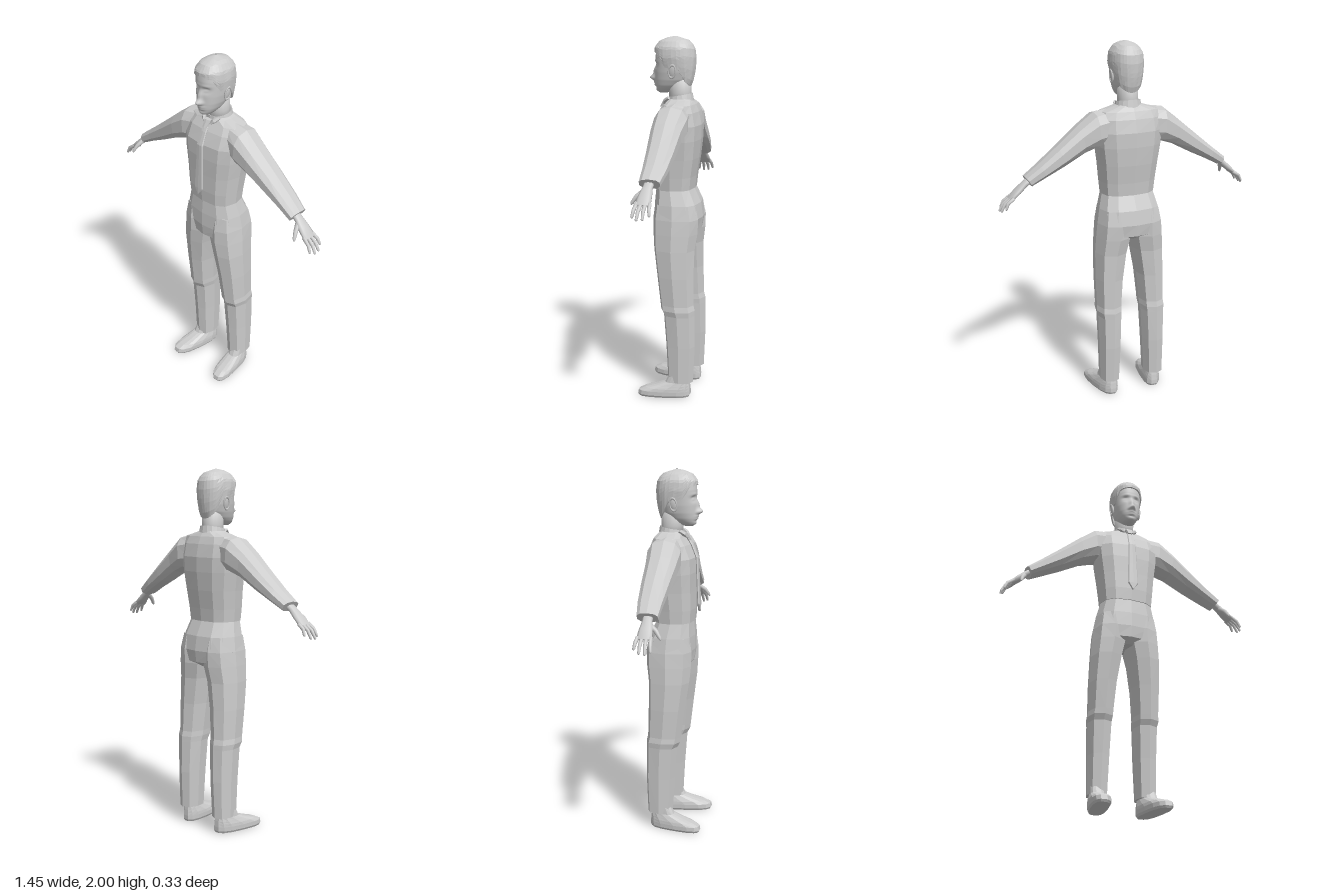
import * as THREE from 'three';

const V = (x, y, z) => new THREE.Vector3(x, y, z);
const cloth = new THREE.MeshStandardMaterial({ color: 0xcccccc, flatShading: true });
const openCloth = new THREE.MeshStandardMaterial({ color: 0xcccccc, flatShading: true, side: THREE.DoubleSide });
const skin = new THREE.MeshStandardMaterial({ color: 0xcccccc });
const pw = (v, p) => Math.sign(v) * Math.abs(v) ** p;

// Skin over a list of closed rings, with optional end caps
function loft(rings, caps = true) {
  const n = rings[0].length, pts = rings.flat(), idx = [];
  for (let i = 0; i < rings.length - 1; i++)
    for (let j = 0; j < n; j++) {
      const a = i * n + j, b = i * n + (j + 1) % n;
      idx.push(a, a + n, b, b, a + n, b + n);
    }
  if (caps) {
    const centre = r => r.reduce((s, p) => s.add(p), V(0, 0, 0)).divideScalar(n);
    const lo = pts.length, top = (rings.length - 1) * n;
    const all = [centre(rings[0]), centre(rings[rings.length - 1])];
    for (let j = 0; j < n; j++) {
      const k = (j + 1) % n;
      idx.push(lo, j, k, lo + 1, top + k, top + j);
    }
    pts.push(...all);
  }
  const g = new THREE.BufferGeometry().setFromPoints(pts);
  g.setIndex(idx);
  g.computeVertexNormals();
  return g;
}

// Ring around centre c with half axes u and v; p below 1 squares it off
const ring = (c, u, v, n, p = 1) => Array.from({ length: n }, (_, j) => {
  const a = j / n * Math.PI * 2;
  return c.clone().addScaledVector(u, pw(Math.cos(a), p)).addScaledVector(v, pw(Math.sin(a), p));
});

// Level ring from its inner x, outer x, front z and back z
const level = ([y, x0, x1, zf, zb], n, p) =>
  ring(V((x0 + x1) / 2, y, (zf + zb) / 2), V((x1 - x0) / 2, 0, 0), V(0, 0, (zf - zb) / 2), n, p);
const body = (rows, n, p) => rows.map(([y, rx, zf, zb]) => level([y, -rx, rx, zf, zb], n, p));

// Sideways limb: each row is top point, bottom point, front z, back z
const limb = (rows, n, p) => loft(rows.map(([tx, ty, bx, by, zf, zb]) =>
  ring(V((tx + bx) / 2, (ty + by) / 2, (zf + zb) / 2), V((bx - tx) / 2, (by - ty) / 2, 0), V(0, 0, (zf - zb) / 2), n, p)));

// Round tapering stick through points
function stick(pts, radii, n) {
  const d = pts[pts.length - 1].clone().sub(pts[0]).normalize();
  const u = d.clone().cross(V(0, 0, 1)).normalize(), v = u.clone().cross(d);
  return loft(pts.map((p, i) => ring(p, u.clone().multiplyScalar(radii[i]), v.clone().multiplyScalar(radii[i]), n)));
}

// Linear lookup of [rx, zf, zb] at height y
function at(rows, y) {
  let i = 0;
  while (i < rows.length - 2 && y > rows[i + 1][0]) i++;
  const t = THREE.MathUtils.clamp((y - rows[i][0]) / (rows[i + 1][0] - rows[i][0]), 0, 1);
  return rows[i].map((v, k) => THREE.MathUtils.lerp(v, rows[i + 1][k], t)).slice(1);
}

function mirrored(g) {
  const m = g.clone().scale(-1, 1, 1), ix = m.index.array;
  for (let i = 0; i < ix.length; i += 3) [ix[i], ix[i + 1]] = [ix[i + 1], ix[i]];
  return m;
}

// Face: sculpted by soft bumps [x, y, width, height, amount]
function headGeometry() {
  const rows = [[1.698, .015, .08, .04], [1.708, .032, .093, .01], [1.722, .044, .101, -.02], [1.74, .055, .104, -.05],
    [1.77, .066, .105, -.08], [1.81, .074, .104, -.095], [1.85, .078, .102, -.1], [1.89, .08, .103, -.105],
    [1.925, .077, .098, -.1], [1.96, .062, .075, -.085], [1.985, .03, .035, -.045]];
  const bumps = [[0, 1.778, .011, .013, .03], [0, 1.812, .009, .02, .014], [0, 1.752, .018, .005, .009],
    [0, 1.738, .015, .005, .008], [0, 1.727, .02, .005, -.004], [0, 1.712, .018, .009, .005]];
  for (const s of [-1, 1])
    bumps.push([s * .014, 1.774, .007, .007, .01], [s * .032, 1.846, .014, .012, -.014],
      [s * .032, 1.843, .01, .006, .008], [s * .032, 1.868, .018, .007, .004]);
  const count = 56, rings = [];
  for (let i = 0; i <= count; i++) {
    const y = THREE.MathUtils.lerp(1.698, 1.985, i / count);
    rings.push(...body([[y, ...at(rows, y)]], 64, .88));
  }
  for (const p of rings.flat()) {
    if (p.z < .03) continue;
    const { x, y } = p;
    for (const [bx, by, sx, sy, k] of bumps)
      p.z += k * Math.exp(-(((x - bx) / sx) ** 2 + ((y - by) / sy) ** 2) / 1.6);
  }
  return loft(rings);
}

// Hair cap: its lower edge drops from the forehead to the nape
function hairGeometry() {
  const rows = [[1.73, .05, .0, -.09], [1.77, .07, .05, -.105], [1.83, .084, .09, -.115], [1.89, .09, .109, -.118],
    [1.94, .085, .108, -.112], [1.975, .062, .08, -.088], [1.993, .032, .038, -.05], [2, .004, 0, -.012]];
  const edge = [[-1, 1.735], [-.5, 1.765], [-.2, 1.83], [.1, 1.845], [.3, 1.82], [.5, 1.86], [.72, 1.905], [1, 1.922]];
  const n = 32, count = 12, rings = [];
  for (let i = 0; i <= count; i++)
    rings.push(Array.from({ length: n }, (_, j) => {
      const a = j / n * Math.PI * 2, s = Math.sin(a);
      const y = THREE.MathUtils.lerp(at(edge, s)[0], 2, (Math.max(i - 1, 0) / (count - 1)) ** .9);
      const [rx, zf, zb] = at(rows, y);
      const k = i === 0 ? .9 : 1 + .018 * Math.sin(j * 2.4 + i * .5) * (1 - i / count);
      return V(rx * k * pw(Math.cos(a), .88), y, (zf + zb) / 2 + (zf - zb) / 2 * k * pw(s, .88));
    }));
  return loft(rings, false);
}

export function createModel() {
  const model = new THREE.Group();
  const add = (name, geo, mat = cloth) => {
    const m = new THREE.Mesh(geo, mat);
    m.name = name;
    model.add(m);
  };
  const pair = (name, geo, mat) => {
    add('left' + name, geo, mat);
    add('right' + name, mirrored(geo), mat);
  };

  // Shirt
  add('shirt', loft(body([[1.18, .149, .096, -.118], [1.25, .156, .101, -.125], [1.35, .167, .102, -.14],
    [1.45, .182, .104, -.15], [1.53, .19, .1, -.152], [1.6, .185, .07, -.137], [1.64, .165, .042, -.12],
    [1.662, .085, .03, -.105], [1.675, .055, .02, -.09]], 12, .75)));
  pair('Sleeve', limb([[.1, 1.655, .12, 1.46, .045, -.11], [.2, 1.64, .185, 1.452, .062, -.125],
    [.29, 1.57, .265, 1.425, .058, -.112], [.41, 1.47, .38, 1.365, .045, -.105],
    [.51, 1.388, .48, 1.317, .036, -.095], [.587, 1.328, .556, 1.277, .032, -.08]], 10, .8));

  // Collar, higher at the nape, with two front points
  const collar = body([[1.645, .076, .04, -.108], [1.688, .066, .036, -.1], [1.684, .06, .028, -.092]], 16);
  collar.flat().forEach(p => { p.y -= .17 * (p.z + .035); });
  add('collar', loft(collar, false), openCloth);
  pair('CollarPoint', stick([V(.052, 1.674, .018), V(.035, 1.657, .042), V(.024, 1.64, .054)], [.011, .013, .004], 5));

  // Tie
  add('tie', loft([[1.233, .001, .121], [1.275, .031, .12], [1.4, .026, .113], [1.53, .022, .107], [1.6, .018, .078], [1.645, .016, .05]]
    .map(([y, w, z]) => ring(V(0, y, z), V(w, 0, 0), V(0, 0, .007), 8, .6))));
  add('tieKnot', loft([[1.622, .014, .068], [1.66, .021, .046]]
    .map(([y, w, z]) => ring(V(0, y, z), V(w, 0, 0), V(0, 0, .014), 8, .6))));

  // Trousers
  add('trouserSeat', loft(body([[.925, .06, .055, -.1], [.955, .14, .092, -.155], [1.02, .181, .099, -.164],
    [1.1, .168, .098, -.152], [1.185, .146, .09, -.112]], 12, .75)));
  pair('TrouserLeg', loft([[.09, .083, .188, 0, -.143], [.3, .074, .191, .012, -.152], [.48, .066, .195, .026, -.15],
    [.51, .062, .2, .042, -.15], [.54, .062, .196, .046, -.143], [.7, .048, .198, .066, -.14],
    [.85, .024, .195, .087, -.142], [.94, .003, .189, .095, -.155], [1.02, .005, .181, .096, -.158],
    [1.1, .02, .165, .085, -.14]].map(r => level(r, 8, .8))));

  // Shoes, toes turned out
  const shoe = [[0, .047, .16, -.122], [.012, .054, .167, -.128], [.035, .055, .162, -.128], [.052, .053, .125, -.126],
    [.068, .048, .07, -.124], [.088, .042, .012, -.12], [.13, .04, -.01, -.118]]
    .map(([y, r, zf, zb]) => level([y, .148 - r, .148 + r, zf, zb], 14, .75));
  shoe.flat().forEach(p => { p.x += .15 * p.z; });
  pair('Shoe', loft(shoe));

  // Hands: palm, four fingers and a thumb
  pair('Palm', limb([[.556, 1.33, .536, 1.306, .004, -.048], [.596, 1.3, .577, 1.274, .006, -.046],
    [.635, 1.265, .613, 1.24, .018, -.053], [.676, 1.22, .658, 1.207, .024, -.058]], 10, .85), skin);
  [[.016, .026, .712, 1.158], [-.006, .0, .724, 1.148], [-.028, -.03, .721, 1.151], [-.05, -.06, .704, 1.167]]
    .forEach(([z0, z1, x, y], i) => pair('Finger' + (i + 1),
      stick([V(.655, 1.223, z0), V((.66 + x) / 2 + .007, (1.22 + y) / 2 + .006, (z0 + z1) / 2), V(x - .003, y + .004, z1), V(x, y, z1)],
        [.0105, .0095, .007, .003], 7), skin));
  pair('Thumb', stick([V(.595, 1.273, -.005), V(.612, 1.245, .03), V(.622, 1.216, .05), V(.625, 1.205, .056)],
    [.014, .012, .009, .004], 7), skin);

  // Neck and head
  add('neck', loft(body([[1.64, .062, .028, -.098], [1.7, .055, .03, -.092], [1.77, .055, .04, -.092]], 20)), skin);
  add('head', headGeometry(), skin);
  add('hair', hairGeometry(), openCloth);

  // Ears: lobe with a raised rim
  const place = g => g.rotateZ(-.12).rotateX(-.15).translate(.081, 1.817, -.008);
  pair('Ear', place(new THREE.SphereGeometry(1, 12, 10).scale(.008, .034, .02)), skin);
  pair('EarRim', place(new THREE.TorusGeometry(1, .2, 6, 18).rotateY(Math.PI / 2).scale(.022, .034, .019).translate(.005, 0, 0)), skin);

  return model;
}
